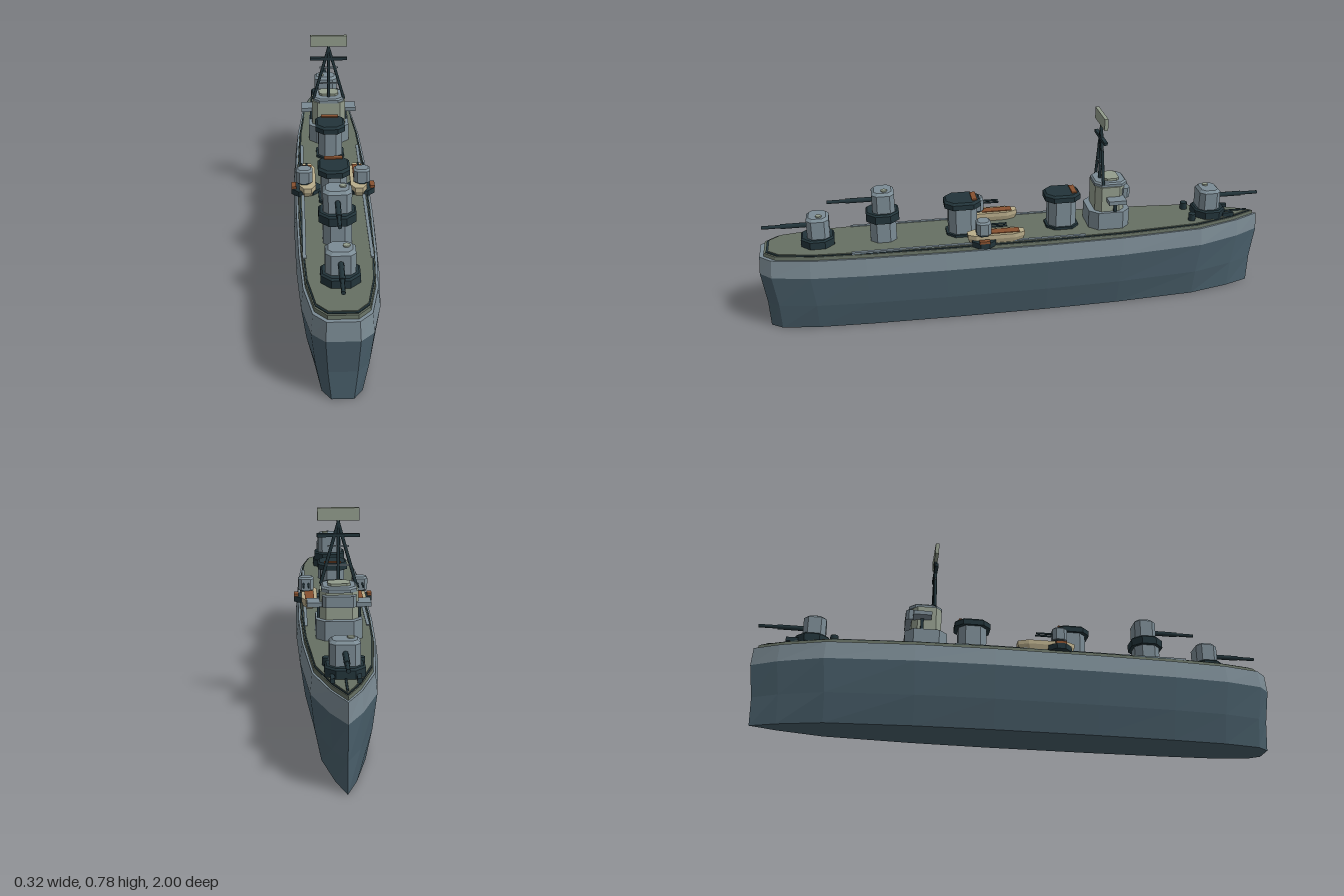
import * as THREE from 'three';

const mat = (name, color) => {
  const m = new THREE.MeshStandardMaterial({ color });
  m.name = name;
  return m;
};

export function createModel() {
  const ship = new THREE.Group();
  ship.name = 'warship';
  const lowerPaint = mat('slate hull', 0x4a606c);
  const grey = mat('naval grey', 0x7b8b94);
  const dark = mat('dark steel', 0x22343a);
  const deckPaint = mat('deck green', 0x667063);
  const olive = mat('pale olive', 0x939d8d);
  const tan = mat('tan', 0xb9ad8b);
  const brown = mat('rust brown', 0x87502f);

  const add = (parent, name, geometry, material, x = 0, y = 0, z = 0) => {
    const mesh = new THREE.Mesh(geometry, material);
    mesh.name = name;
    mesh.position.set(x, y, z);
    parent.add(mesh);
    return mesh;
  };

  // Lofts a convex outline [x, z] through levels [y, scaleX, scaleZ], capped at both ends
  const loft = (outline, levels) => {
    const pos = [];
    const rings = levels.map(([y, sx, sz]) => outline.map(([x, z]) => [x * sx, y, z * sz]));
    const n = outline.length;
    const tri = (...pts) => pts.forEach((p) => pos.push(...p));
    for (let i = 0; i < n; i++) {
      const j = (i + 1) % n;
      for (let k = 0; k + 1 < rings.length; k++) {
        const a = rings[k], b = rings[k + 1];
        tri(a[i], a[j], b[j]);
        tri(a[i], b[j], b[i]);
      }
      const bottom = rings[0], top = rings[rings.length - 1];
      tri([0, bottom[0][1], 0], bottom[j], bottom[i]);
      tri([0, top[0][1], 0], top[i], top[j]);
    }
    const g = new THREE.BufferGeometry();
    g.setAttribute('position', new THREE.Float32BufferAttribute(pos, 3));
    g.computeVertexNormals();
    return g;
  };

  // Upright block with cut corners and a small bevel round the top
  const octagon = (w, d, c) => [
    [w / 2 - c, d / 2], [w / 2, d / 2 - c], [w / 2, c - d / 2], [w / 2 - c, -d / 2],
    [c - w / 2, -d / 2], [-w / 2, c - d / 2], [-w / 2, d / 2 - c], [c - w / 2, d / 2],
  ];
  const block = (w, h, d, c, bevel = 0) => loft(octagon(w, d, c), bevel
    ? [[0, 1, 1], [h - bevel, 1, 1], [h, 1 - 2 * bevel / w, 1 - 2 * bevel / d]]
    : [[0, 1, 1], [h, 1, 1]]);
  const box = (w, h, d) => new THREE.BoxGeometry(w, h, d);

  // Round bar between two points
  const bar = (parent, name, from, to, r, material) => {
    const a = new THREE.Vector3(...from), b = new THREE.Vector3(...to);
    const mesh = add(parent, name, new THREE.CylinderGeometry(r, r, a.distanceTo(b), 8), material);
    mesh.position.copy(a).lerp(b, 0.5);
    mesh.quaternion.setFromUnitVectors(new THREE.Vector3(0, 1, 0), b.sub(a).normalize());
    return mesh;
  };

  // Hull, pointed bow at -z
  const half = [
    [0.055, 1], [0.1, 0.955], [0.13, 0.81], [0.143, 0.6], [0.15, 0.3], [0.15, -0.1],
    [0.14, -0.4], [0.11, -0.73], [0.052, -0.9],
  ];
  const plan = [...half, [0, -1], ...half.map(([x, z]) => [-x, z]).reverse()];
  add(ship, 'lowerHull', loft(plan, [[0, 0.67, 0.98], [0.11, 0.87, 0.983], [0.238, 1, 1]]), lowerPaint);
  add(ship, 'upperHull', loft(plan, [[0.238, 1, 1], [0.308, 0.94, 0.995]]), grey);
  add(ship, 'deckTrim', loft(plan, [[0.308, 0.89, 0.98], [0.321, 0.88, 0.978]]), deckPaint);
  add(ship, 'waterway', loft(plan, [[0.321, 0.86, 0.97], [0.324, 0.86, 0.97]]), dark);
  add(ship, 'deck', loft(plan, [[0.324, 0.83, 0.962], [0.327, 0.83, 0.962]]), deckPaint);
  for (const s of [-1, 1]) {
    add(ship, 'deckRail', box(0.012, 0.008, 0.9), grey, s * 0.115, 0.326, 0.2);
  }

  // Main guns
  const gun = (name, z, y, dir) => {
    const g = new THREE.Group();
    g.name = name;
    g.position.set(0, y, z);
    g.rotation.y = dir > 0 ? 0 : Math.PI;
    add(g, 'gunRing', block(0.13, 0.036, 0.125, 0.034, 0.006), dark);
    add(g, 'turret', block(0.1, 0.083, 0.085, 0.018, 0.01), grey, 0, 0.034, -0.005);
    add(g, 'hatch', new THREE.CylinderGeometry(0.012, 0.012, 0.006, 8), olive, 0.02, 0.119, -0.01);
    bar(g, 'barrelSleeve', [0, 0.078, 0.03], [0, 0.078, 0.135], 0.01, dark);
    bar(g, 'barrel', [0, 0.078, 0.13], [0, 0.078, 0.205], 0.007, dark);
    ship.add(g);
  };
  gun('foreGun', -0.782, 0.325, -1);
  gun('aftGun', 0.775, 0.325, 1);
  gun('raisedAftGun', 0.525, 0.412, 1);
  add(ship, 'gunPedestal', block(0.1, 0.09, 0.1, 0.025), grey, 0, 0.325, 0.525);

  // Bridge
  const bridge = new THREE.Group();
  bridge.name = 'bridge';
  bridge.position.z = -0.357;
  ship.add(bridge);
  add(bridge, 'bridgeBase', block(0.165, 0.073, 0.162, 0.032), grey, 0, 0.325);
  add(bridge, 'bridgeHouse', block(0.138, 0.102, 0.115, 0.022), olive, 0, 0.397);
  add(bridge, 'bridgeFront', block(0.12, 0.04, 0.04, 0.012), grey, 0, 0.447, -0.06);
  add(bridge, 'bridgeRoof', block(0.125, 0.018, 0.128, 0.024, 0.006), grey, 0, 0.497, -0.005);
  add(bridge, 'roofHatch', block(0.08, 0.01, 0.06, 0.012), olive, 0, 0.514, -0.01);
  for (const s of [-1, 1]) {
    add(bridge, 'bridgeWing', box(0.055, 0.016, 0.07), grey, s * 0.086, 0.451, -0.018);
    add(bridge, 'wingStrut', box(0.012, 0.05, 0.012), dark, s * 0.072, 0.42, -0.018);
  }

  // Mast with radar
  const mast = new THREE.Group();
  mast.name = 'mast';
  mast.position.z = -0.327;
  ship.add(mast);
  bar(mast, 'mastPost', [0, 0.51, 0], [0, 0.745, 0], 0.006, dark);
  for (const s of [-1, 1]) bar(mast, 'mastLeg', [s * 0.063, 0.508, 0], [0, 0.73, 0], 0.006, dark);
  add(mast, 'yardarm', box(0.152, 0.012, 0.014), dark, 0, 0.684);
  add(mast, 'upperBrace', box(0.076, 0.006, 0.006), grey, 0, 0.645);
  add(mast, 'lowerBrace', box(0.08, 0.006, 0.006), grey, 0, 0.576);
  add(mast, 'radarPanel', box(0.148, 0.045, 0.014), olive, 0, 0.76);

  // Funnels
  for (const z of [-0.175, 0.218]) {
    const f = new THREE.Group();
    f.name = 'funnel';
    f.position.set(0, 0.325, z);
    add(f, 'funnelFoot', block(0.112, 0.012, 0.128, 0.03), dark);
    add(f, 'funnelBody', block(0.096, 0.115, 0.11, 0.026), grey, 0, 0.008);
    add(f, 'funnelCap', block(0.118, 0.028, 0.14, 0.03, 0.008), dark, 0, 0.118);
    add(f, 'funnelVent', box(0.07, 0.008, 0.02), brown, 0, 0.147, -0.045);
    ship.add(f);
  }

  // Side gun tubs
  const tubPlan = [
    [0.014, 0.11], [0.031, 0.08], [0.031, -0.07], [0.014, -0.11],
    [-0.014, -0.11], [-0.031, -0.07], [-0.031, 0.08], [-0.014, 0.11],
  ];
  for (const s of [-1, 1]) {
    const t = new THREE.Group();
    t.name = 'sideGun';
    t.position.set(s * 0.097, 0.32, 0.1);
    add(t, 'tub', loft(tubPlan, [[0.006, 0.8, 0.92], [0.026, 1, 1], [0.042, 1, 1]]), tan);
    add(t, 'tubFloor', box(0.036, 0.004, 0.12), brown, 0, 0.043, -0.03);
    add(t, 'gunPlatform', block(0.11, 0.022, 0.09, 0.028), dark, s * 0.006, 0, 0.05);
    add(t, 'platformLocker', box(0.018, 0.012, 0.04), brown, s * 0.052, 0.026, 0.05);
    add(t, 'gunMount', block(0.05, 0.012, 0.05, 0.014), dark, s * 0.012, 0.04, 0.05);
    add(t, 'smallTurret', block(0.062, 0.052, 0.056, 0.013, 0.007), grey, s * 0.012, 0.048, 0.05);
    for (const k of [-1, 1]) {
      const x = s * 0.012 + k * 0.01;
      bar(t, 'smallBarrel', [x, 0.075, 0.03], [x, 0.075, -0.04], 0.004, dark);
    }
    ship.add(t);

    // Bow fittings
    add(ship, 'bollard', new THREE.CylinderGeometry(0.015, 0.015, 0.03, 8), dark, s * 0.055, 0.34, -0.7);
    add(ship, 'bowCleat', box(0.014, 0.016, 0.045), dark, s * 0.042, 0.334, -0.855);
  }
  bar(ship, 'anchorChain', [0, 0.329, -0.85], [0, 0.329, -0.95], 0.004, dark);
  return ship;
}
